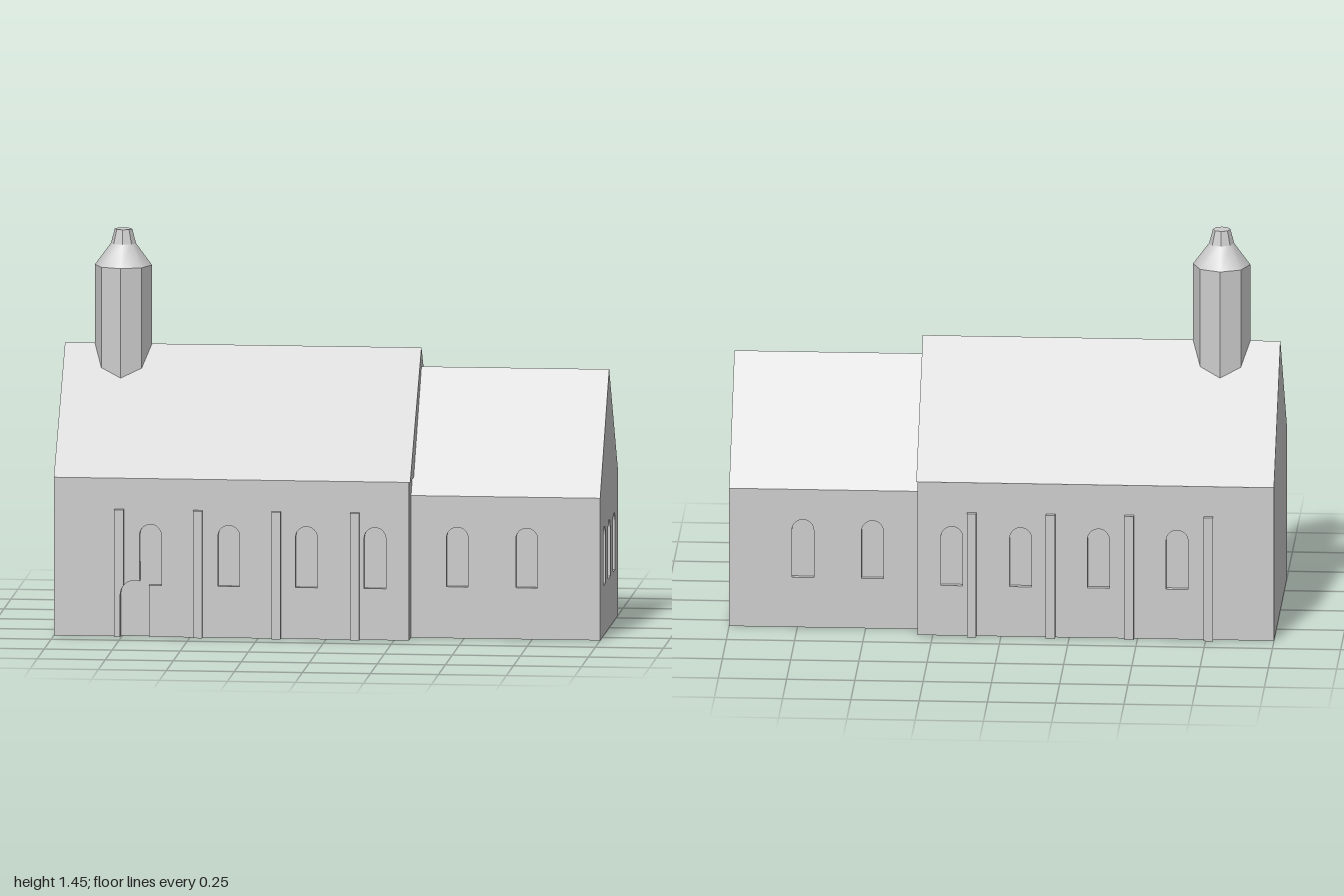
import * as THREE from 'three';

const D = 0.02; // depth of the window and door recesses

function add(parent, name, geometry, material) {
  const mesh = new THREE.Mesh(geometry, material);
  mesh.name = name;
  parent.add(mesh);
  return mesh;
}

function polygon(points) {
  return new THREE.Shape(points.map(([x, y]) => new THREE.Vector2(x, y)));
}

// Round-headed opening
function archHole(cx, bottom, top, width = 0.08) {
  const r = width / 2;
  const hole = new THREE.Path();
  hole.moveTo(cx - r, bottom);
  hole.lineTo(cx + r, bottom);
  hole.lineTo(cx + r, top - r);
  hole.absarc(cx, top - r, r, 0, Math.PI, false);
  hole.lineTo(cx - r, bottom);
  return hole;
}

function extrude(shape, depth) {
  return new THREE.ExtrudeGeometry(shape, { depth, bevelEnabled: false, curveSegments: 10 });
}

// Prism along x with the cross-section given as [z, y]
function prismX(points, x0, x1) {
  return extrude(polygon(points), x1 - x0).rotateY(Math.PI / 2).translate(x0, 0, 0);
}

// Side wall skin with window openings; side is +1 at the front, -1 at the back
function sideWall(x0, x1, height, z, windows, bottom, top, side) {
  const a = Math.min(x0 * side, x1 * side), b = Math.max(x0 * side, x1 * side);
  const shape = polygon([[a, 0], [b, 0], [b, height], [a, height]]);
  windows.forEach((x) => shape.holes.push(archHole(x * side, bottom, top)));
  const geometry = extrude(shape, D).translate(0, 0, z - D);
  return side < 0 ? geometry.rotateY(Math.PI) : geometry;
}

// Front nave wall, where the door runs into the first window
function doorWall(windows) {
  const s = new THREE.Shape();
  s.moveTo(-1, 0);
  s.lineTo(-0.755, 0);
  s.lineTo(-0.755, 0.155);
  s.absarc(-0.7025, 0.155, 0.0525, Math.PI, 1.22, true);
  s.lineTo(-0.685, 0.375);
  s.absarc(-0.645, 0.375, 0.04, Math.PI, 0, true);
  s.lineTo(-0.605, 0.19);
  s.lineTo(-0.65, 0.19);
  s.lineTo(-0.65, 0);
  s.lineTo(0.305, 0);
  s.lineTo(0.305, 0.585);
  s.lineTo(-1, 0.585);
  windows.forEach((x) => s.holes.push(archHole(x, 0.19, 0.415)));
  return extrude(s, D).translate(0, 0, 0.4 - D);
}

export function createModel() {
  const model = new THREE.Group();
  model.name = 'church';
  const stone = new THREE.MeshStandardMaterial({ color: 0xcccccc });
  stone.name = 'pale grey stone';

  // Nave
  const nave = new THREE.Group();
  nave.name = 'nave';
  model.add(nave);
  const naveWindows = [-0.645, -0.357, -0.072, 0.18];
  const zi = 0.4 - D;
  add(nave, 'naveCore', prismX([[-zi, 0], [zi, 0], [zi, 0.585], [-zi, 0.585]], -1, 0.305), stone);
  add(nave, 'naveFrontWall', doorWall(naveWindows.slice(1)), stone);
  add(nave, 'naveBackWall', sideWall(-1, 0.305, 0.585, 0.4, naveWindows, 0.19, 0.415, -1), stone);
  add(nave, 'naveRoof', prismX([[-0.405, 0.585], [0.405, 0.585], [0, 1.025]], -1, 0.31), stone);

  // Pilasters; the first one at the front is cut by the door arch
  [-0.76, -0.47, -0.182, 0.107].forEach((x, i) => {
    for (const side of [1, -1]) {
      const l = x - 0.017, r = x + 0.017;
      const foot = i === 0 && side > 0
        ? [[l, 0], [-0.755, 0], [-0.755, 0.155], [-0.751, 0.175], [r, 0.19]]
        : [[l, 0], [r, 0]];
      const geometry = extrude(polygon([...foot, [r, 0.47], [l, 0.47]]), 0.02);
      add(nave, 'pilaster', geometry.translate(0, 0, side > 0 ? 0.4 : -0.42), stone);
    }
  });

  // Choir
  const choir = new THREE.Group();
  choir.name = 'choir';
  model.add(choir);
  const w = 0.325, wi = w - D, xEnd = 1 - D;
  add(choir, 'choirCore', prismX([[-wi, 0], [wi, 0], [wi, 0.525], [-wi, 0.525]], 0.3, xEnd), stone);
  for (const side of [1, -1]) {
    add(choir, side > 0 ? 'choirFrontWall' : 'choirBackWall',
      sideWall(0.305, xEnd, 0.525, w, [0.475, 0.73], 0.19, 0.41, side), stone);
  }
  add(choir, 'choirRoof', prismX([[-w, 0.525], [w, 0.525], [0, 0.955]], 0.3, xEnd), stone);
  const gable = polygon([[-w, 0], [w, 0], [w, 0.525], [0, 0.955], [-w, 0.525]]);
  [-0.173, 0, 0.173].forEach((z) => gable.holes.push(archHole(z, 0.185, 0.4)));
  add(choir, 'choirGable', extrude(gable, D).rotateY(Math.PI / 2).translate(xEnd, 0, 0), stone);

  // Ridge turret: octagonal shaft, smooth cap and small lantern
  const turret = new THREE.Group();
  turret.name = 'turret';
  turret.position.x = -0.785;
  model.add(turret);
  const section = (name, top, bottom, y0, y1, flat) => {
    let geometry = new THREE.CylinderGeometry(top, bottom, y1 - y0, 8);
    if (flat) {
      geometry = geometry.toNonIndexed();
      geometry.computeVertexNormals();
    }
    add(turret, name, geometry.translate(0, (y0 + y1) / 2, 0), stone);
  };
  section('turretShaft', 0.105, 0.105, 0.85, 1.315, true);
  section('turretCap', 0.046, 0.105, 1.315, 1.395, false);
  section('turretLantern', 0.032, 0.046, 1.395, 1.448, true);

  return model;
}
